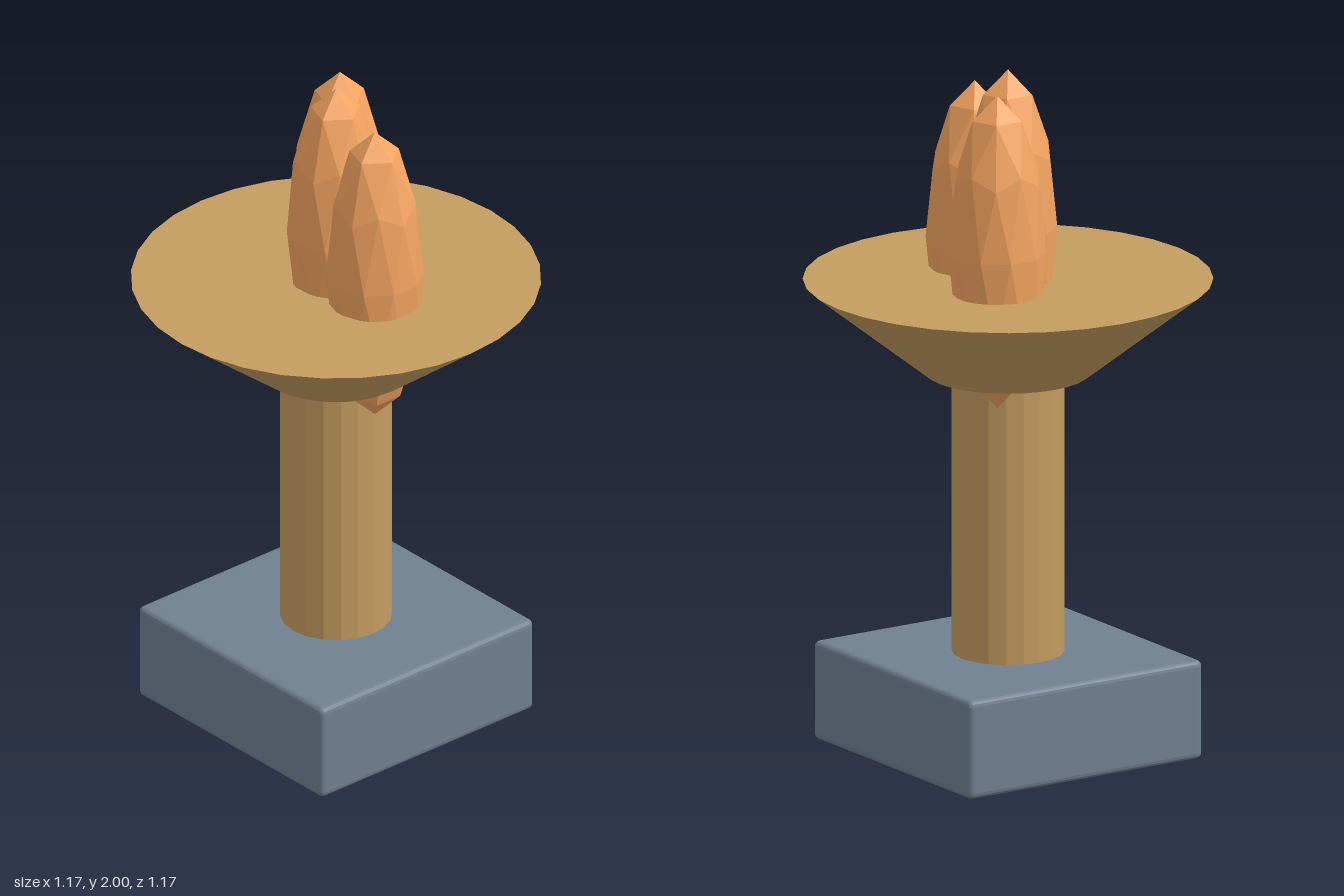
import * as THREE from 'three';
import { RoundedBoxGeometry } from 'three/addons/geometries/RoundedBoxGeometry.js';

const stone = new THREE.MeshStandardMaterial({ color: 0x708090, flatShading: true });
const brass = new THREE.MeshStandardMaterial({ color: 0xc49c60, flatShading: true });
const fire = new THREE.MeshStandardMaterial({ color: 0xf4a460, flatShading: true });

function addPart(group, name, geometry, material, x, y, z) {
  const mesh = new THREE.Mesh(geometry, material);
  mesh.name = name;
  mesh.position.set(x, y, z);
  group.add(mesh);
}

export function createModel() {
  const brazier = new THREE.Group();
  brazier.name = 'brazier';

  // Square plinth with softened edges
  addPart(brazier, 'base', new RoundedBoxGeometry(0.8, 0.29, 0.8, 2, 0.018), stone, 0, 0.145, 0);

  // Round column, slightly sunk into the plinth and the bowl
  addPart(brazier, 'column', new THREE.CylinderGeometry(0.16, 0.16, 0.86, 20), brass, 0, 0.7, 0);

  // Flared bowl with a flat top
  addPart(brazier, 'bowl', new THREE.CylinderGeometry(0.583, 0.235, 0.275, 32), brass, 0, 1.2475, 0);

  // Faceted flames: icospheres turned to stand on a corner, then stretched
  const flame = new THREE.IcosahedronGeometry(1, 1);
  flame.rotateZ(-Math.atan(2 / (1 + Math.sqrt(5))));
  flame.scale(0.14, 0.46, 0.14);
  const flames = new THREE.Group();
  flames.name = 'flames';
  addPart(flames, 'centreFlame', flame, fire, 0, 1.54, 0);
  addPart(flames, 'leftFlame', flame, fire, 0.168, 1.47, 0);
  addPart(flames, 'rearFlame', flame, fire, -0.112, 1.505, -0.112);
  brazier.add(flames);

  return brazier;
}
